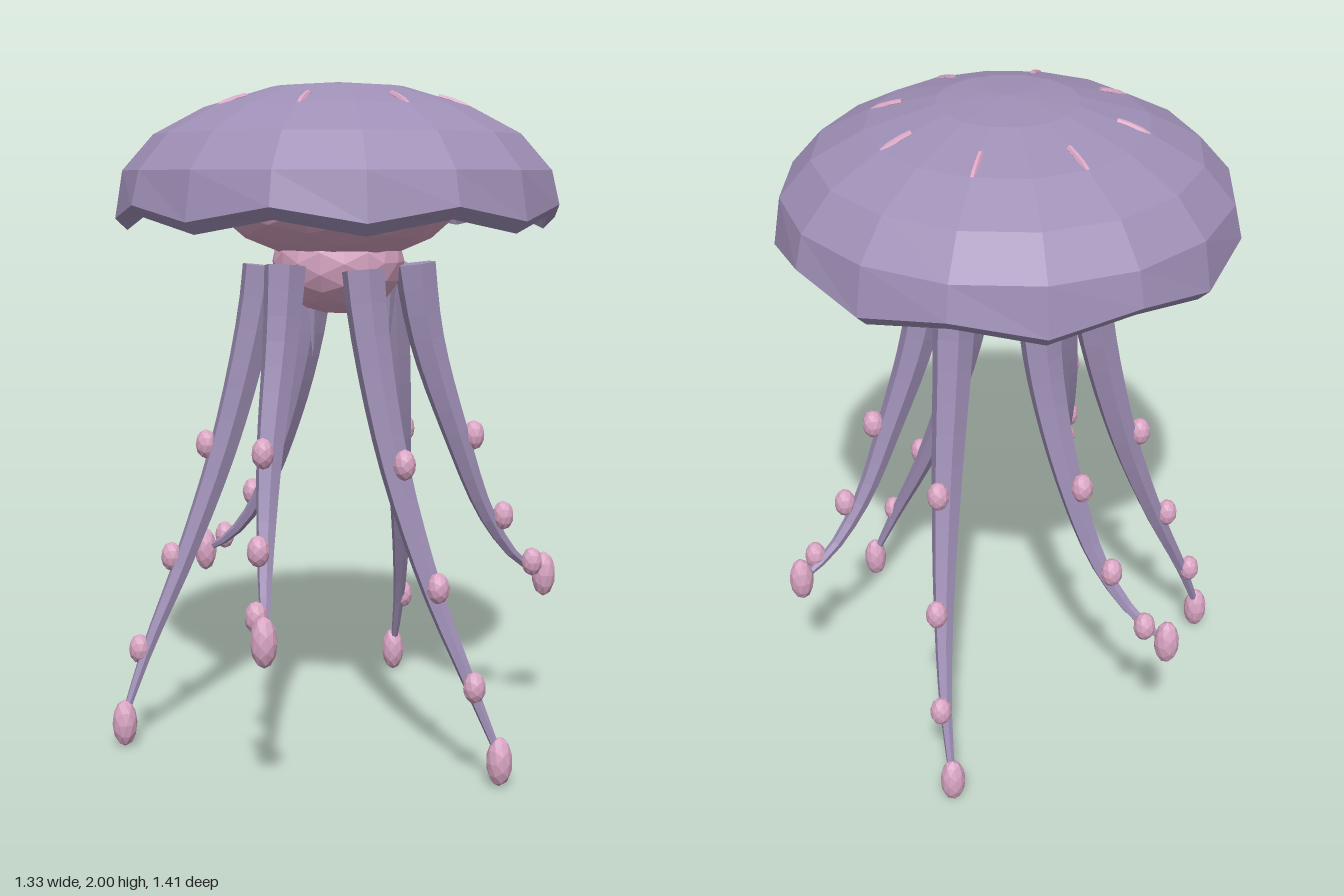
import * as THREE from 'three';

const lilac = new THREE.MeshStandardMaterial({ color: 0x9f8fb6, flatShading: true });
lilac.name = 'lilac skin';
const pink = new THREE.MeshStandardMaterial({ color: 0xd9a5c3, flatShading: true });
pink.name = 'soft pink';

const V = (p) => new THREE.Vector3(...p);

function add(parent, name, geometry, material, position = [0, 0, 0]) {
  const mesh = new THREE.Mesh(geometry, material);
  mesh.name = name;
  mesh.position.set(...position);
  parent.add(mesh);
  return mesh;
}

// Faceted egg shape
function egg(parent, name, position, rx, ry, detail) {
  add(parent, name, new THREE.IcosahedronGeometry(1, detail), pink, position).scale.set(rx, ry, rx);
}

// Hollow bell: inner wall, rim and outer wall in one profile, with a scalloped rim
function bellGeometry() {
  const profile = [
    [0, 1.95], [0.2, 1.935], [0.37, 1.88], [0.51, 1.80], [0.6, 1.71], [0.63, 1.608],
    [0.665, 1.642], [0.642, 1.74], [0.55, 1.845], [0.4, 1.925], [0.2, 1.985], [0, 2],
  ].map(([r, y]) => new THREE.Vector2(r, y));
  const geometry = new THREE.LatheGeometry(profile, 16);
  const pos = geometry.attributes.position;
  for (let i = 0; i < pos.count; i++) {
    const odd = Math.floor(i / profile.length) % 2;
    if (odd && pos.getY(i) < 1.65) pos.setY(i, pos.getY(i) - 0.043);
  }
  return geometry;
}

// Six-sided tapered tube; its first ring collapses into a flat cap
function taperedTube(points, radiusAt, rings = 16, sides = 6) {
  const curve = new THREE.CatmullRomCurve3(points.map(V));
  const geometry = new THREE.TubeGeometry(curve, rings, 1, sides);
  const pos = geometry.attributes.position;
  const v = new THREE.Vector3();
  for (let i = 0; i <= rings; i++) {
    const centre = curve.getPointAt(i / rings);
    const target = i === 0 ? curve.getPointAt(1 / rings) : centre;
    const radius = i === 0 ? 0 : radiusAt(i / rings);
    for (let j = 0; j <= sides; j++) {
      const k = i * (sides + 1) + j;
      v.fromBufferAttribute(pos, k).sub(centre).multiplyScalar(radius).add(target);
      pos.setXYZ(k, v.x, v.y, v.z);
    }
  }
  return geometry;
}

// Each kind of tentacle is repeated three times around the body
const tentacles = [
  {
    name: 'longTentacle',
    path: [[0.105, 1.55, -0.2], [0.107, 1.3, -0.235], [0.105, 0.91, -0.335], [0.085, 0.565, -0.465],
      [0.05, 0.29, -0.59], [0.012, 0.09, -0.67]],
    beads: [[0.115, 0.908, -0.39], [0.095, 0.565, -0.505], [0.058, 0.29, -0.613]],
    tip: [0.01, 0.075, -0.668],
  },
  {
    name: 'shortTentacle',
    path: [[-0.1, 1.54, 0.2], [-0.105, 1.25, 0.245], [-0.107, 0.94, 0.345], [-0.085, 0.68, 0.455],
      [-0.05, 0.53, 0.57], [-0.02, 0.47, 0.665]],
    beads: [[-0.11, 0.94, 0.4], [-0.09, 0.68, 0.506], [-0.06, 0.52, 0.615]],
    tip: [-0.02, 0.468, 0.67],
  },
];

function addTentacle(parent, { name, path, beads, tip }, angle) {
  const group = new THREE.Group();
  group.name = name;
  group.rotation.y = angle;
  add(group, 'tentacleArm', taperedTube(path, (t) => 0.066 - 0.056 * t ** 1.15), lilac);
  for (const bead of beads) egg(group, 'bead', bead, 0.033, 0.046, 1);
  egg(group, 'tipBead', tip, 0.038, 0.073, 1);
  parent.add(group);
}

export function createModel() {
  const model = new THREE.Group();
  model.name = 'jellyfish';

  add(model, 'bell', bellGeometry(), lilac);

  // Soft body under the bell
  egg(model, 'innerBody', [0, 1.66, 0], 0.37, 0.185, 2);
  egg(model, 'mouth', [0, 1.47, 0], 0.2, 0.16, 2);

  // Radial streaks: they surface on top of the bell and run down inside it
  const streak = taperedTube(
    [[0, 1.962, 0.27], [0, 1.944, 0.34], [0, 1.915, 0.4], [0, 1.81, 0.495], [0, 1.69, 0.6], [0, 1.63, 0.62]],
    (t) => 0.008 + 0.006 * t, 14);
  for (let i = 0; i < 8; i++) {
    add(model, 'streak', streak, pink).rotation.y = i * Math.PI / 4;
  }

  for (const kind of tentacles) {
    for (let i = 0; i < 3; i++) addTentacle(model, kind, i * Math.PI * 2 / 3);
  }

  // Small spikes hanging beside the mouth
  for (const x of [-0.12, 0.12]) {
    for (const z of [-0.13, 0.13]) {
      const spike = add(model, 'mouthSpike', new THREE.ConeGeometry(0.03, 0.24, 5), lilac, [x, 1.28, z]);
      spike.rotation.x = Math.PI;
    }
  }
  return model;
}
